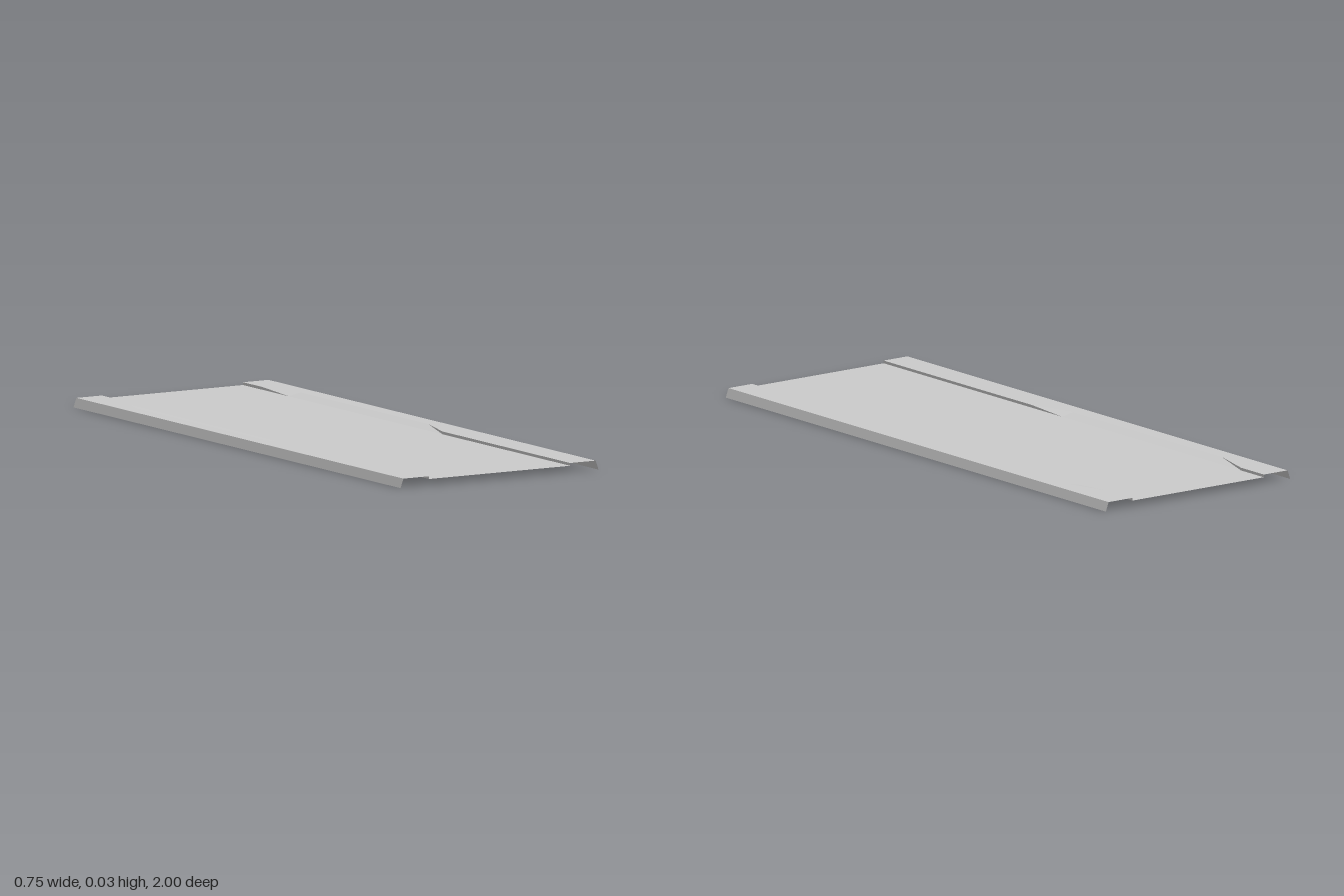
import * as THREE from 'three';

// Sheet profile: low centre panel, raised side rails, outer lips folded down.
const PANEL_X = 0.266, PANEL_Y = 0.021, RAIL_Y = 0.03;
const RAIL_X = 0.362, LIP_X = 0.373, FLARE_X = 0.31;

// Stations along the length: [z, inner edge of the rail top]
const STATIONS = [
  [1, PANEL_X], [0.22, PANEL_X], [0.06, FLARE_X],
  [-0.72, FLARE_X], [-0.88, PANEL_X], [-1, PANEL_X],
];

const material = new THREE.MeshStandardMaterial({
  color: 0xcccccc, flatShading: true, side: THREE.DoubleSide,
});

// Strip between two edges, each given as a list of points, front to back
function strip(name, edgeA, edgeB) {
  const positions = [], index = [];
  edgeA.forEach((a, i) => {
    positions.push(...a, ...edgeB[i]);
    if (i > 0) {
      const k = 2 * i - 2;
      index.push(k, k + 1, k + 3, k, k + 3, k + 2);
    }
  });
  const geometry = new THREE.BufferGeometry();
  geometry.setAttribute('position', new THREE.Float32BufferAttribute(positions, 3));
  geometry.setIndex(index);
  const flat = geometry.toNonIndexed();
  flat.computeVertexNormals();
  const mesh = new THREE.Mesh(flat, material);
  mesh.name = name;
  return mesh;
}

export function createModel() {
  const group = new THREE.Group();
  group.name = 'foldedSheet';

  const edge = (x, y) => STATIONS.map(([z]) => [x, y, z]);
  group.add(strip('centrePanel', edge(-PANEL_X, PANEL_Y), edge(PANEL_X, PANEL_Y)));

  for (const [side, s] of [['left', 1], ['right', -1]]) {
    const panelEdge = edge(s * PANEL_X, PANEL_Y);
    const railInner = STATIONS.map(([z, x]) => [s * x, RAIL_Y, z]);
    const railOuter = edge(s * RAIL_X, RAIL_Y);
    const lipBottom = edge(s * LIP_X, 0);
    // Order the edges from -x to +x so that every strip faces up
    const add = (name, inner, outer) =>
      group.add(s > 0 ? strip(side + name, inner, outer) : strip(side + name, outer, inner));
    add('Step', panelEdge, railInner); // upright step, flared into a ramp mid-length
    add('Rail', railInner, railOuter);
    add('Lip', railOuter, lipBottom);
  }
  return group;
}
